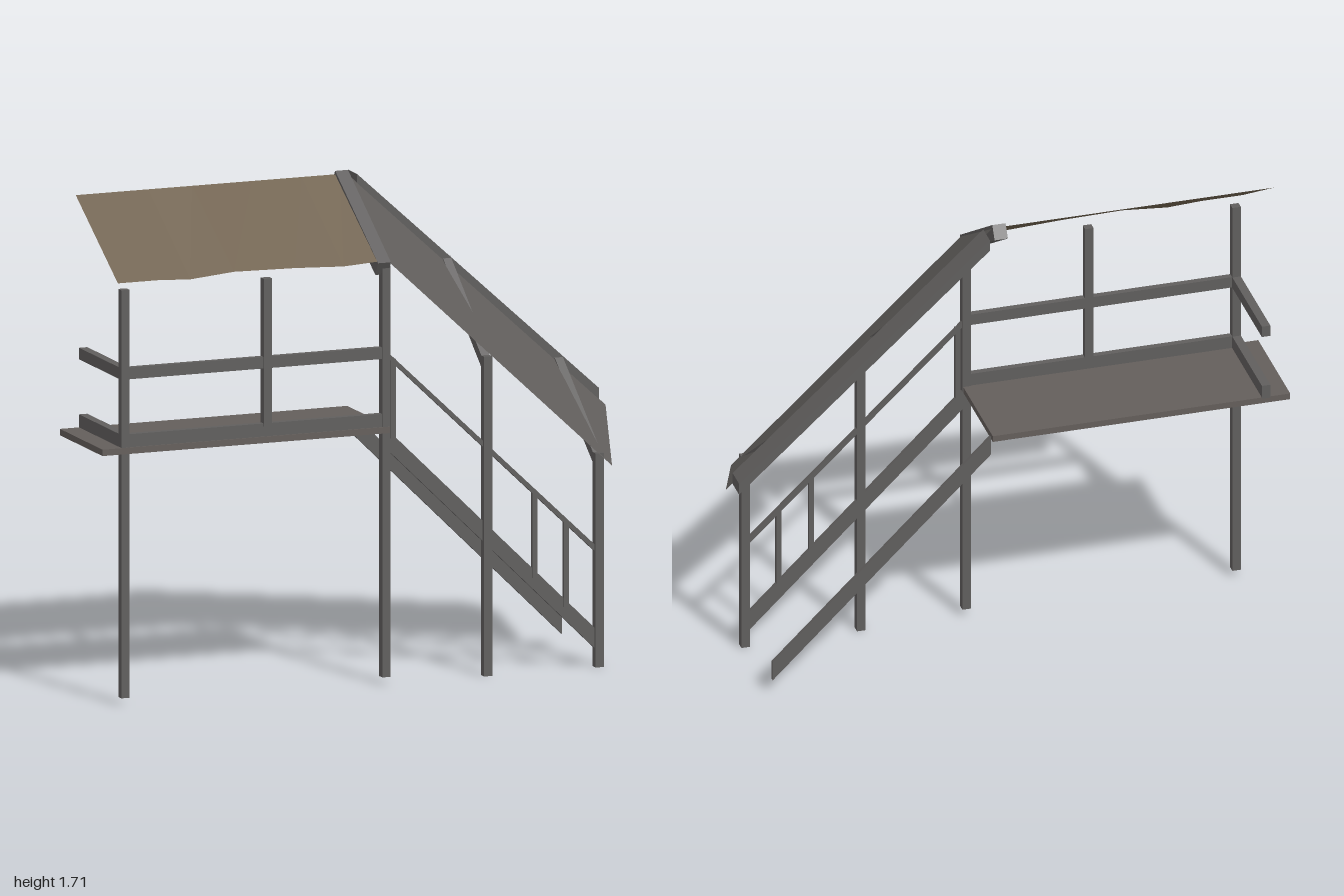
import * as THREE from 'three';

const mat = (name, color, side = THREE.FrontSide) => {
  const m = new THREE.MeshStandardMaterial({ color, side, flatShading: true });
  m.name = name;
  return m;
};

export function createModel() {
  const group = new THREE.Group();
  const timber = mat('grey timber', 0x605e5d);
  const deckWood = mat('deck wood', 0x645e5b);
  const sheet = mat('grey roof sheet', 0x625f5d, THREE.DoubleSide);
  const cloth = mat('brown cloth', 0x70624f, THREE.DoubleSide);

  const add = (name, geo, material = timber) => {
    const mesh = new THREE.Mesh(geo, material);
    mesh.name = name;
    group.add(mesh);
  };
  // Box given by its limits on each axis
  const box = (name, [x0, x1], [y0, y1], [z0, z1], material) => {
    const g = new THREE.BoxGeometry(x1 - x0, y1 - y0, z1 - z0);
    g.translate((x0 + x1) / 2, (y0 + y1) / 2, (z0 + z1) / 2);
    add(name, g, material);
  };
  const extrude = (pts, depth) => new THREE.ExtrudeGeometry(
    new THREE.Shape(pts.map(p => new THREE.Vector2(...p))), { depth, bevelEnabled: false });
  // Outline in x,y carried along z
  const sideBeam = (name, pts, z0, z1) => add(name, extrude(pts, z1 - z0).translate(0, 0, z0));
  // Outline in z,y carried along x
  const crossBeam = (name, pts, x0, x1) =>
    add(name, extrude(pts, x1 - x0).rotateY(-Math.PI / 2).translate(x1, 0, 0));
  // Ruled sheet between two edges of equal point count
  const ruled = (name, back, front, material) => {
    const pos = [], idx = [];
    back.forEach((b, i) => {
      pos.push(...b, ...front[i]);
      if (i) { const k = i * 2; idx.push(k - 2, k - 1, k, k, k - 1, k + 1); }
    });
    const g = new THREE.BufferGeometry();
    g.setAttribute('position', new THREE.Float32BufferAttribute(pos, 3));
    g.setIndex(idx);
    g.computeVertexNormals();
    add(name, g, material);
  };

  // Posts: x, bottom, top
  for (const [x, y0, y1] of [[-0.915, 0.03, 1.44], [0.038, 0.03, 1.45], [0.41, 0.005, 1.11], [0.818, 0.005, 0.745]])
    box('post', [x - 0.015, x + 0.015], [y0, y1], [0.185, 0.213]);
  box('middlePost', [-0.41, -0.38], [0.93, 1.44], [0.185, 0.213]);

  // Platform with front and end rails
  box('platform', [-1, 0.05], [0.873, 0.895], [-0.17, 0.215], deckWood);
  box('frontRail', [-0.915, 0.05], [1.13, 1.17], [0.188, 0.21]);
  box('frontKickBoard', [-0.915, 0.05], [0.878, 0.94], [0.188, 0.21]);
  box('endRail', [-0.93, -0.9], [1.13, 1.17], [-0.17, 0.2]);
  box('endKickBoard', [-0.93, -0.9], [0.89, 0.94], [-0.17, 0.2]);

  // Stair stringers, handrail and balusters
  const stringer = [[0.05, 0.81], [0.82, 0.055], [0.82, 0.125], [0.05, 0.88]];
  sideBeam('frontStringer', stringer, 0.187, 0.2);
  sideBeam('backStringer', stringer, -0.145, -0.133);
  sideBeam('handrail', [[0.05, 1.128], [0.82, 0.39], [0.82, 0.413], [0.05, 1.148]], 0.188, 0.202);
  for (const [x, y0, y1] of [[0.068, 0.85, 1.125], [0.585, 0.33, 0.625], [0.7, 0.22, 0.515]])
    box('baluster', [x - 0.009, x + 0.009], [y0, y1], [0.188, 0.202]);

  // Rafters
  crossBeam('mainRafter', [[0.225, 1.465], [0.2, 1.42], [-0.192, 1.668], [-0.163, 1.712]], 0.003, 0.05);
  crossBeam('middleRafter', [[0.213, 1.09], [0.213, 1.05], [-0.17, 1.35], [-0.165, 1.387]], 0.395, 0.425);
  crossBeam('lowerRafter', [[0.213, 0.725], [0.213, 0.69], [-0.17, 0.975], [-0.165, 1.013]], 0.803, 0.833);

  // Sloping roof over the stairs and its ridge plank
  ruled('stairRoof', [[0.045, 1.7, -0.16], [0.99, 0.83, -0.16]],
    [[0.045, 1.465, 0.22], [0.86, 0.7, 0.22]], sheet);
  sideBeam('ridgePlank', [[0.08, 1.655], [0.965, 0.848], [0.965, 0.89], [0.08, 1.697]], -0.235, -0.157);

  // Cloth awning with a wavy front edge
  const hem = [[-0.945, 1.466], [-0.8, 1.466], [-0.68, 1.46], [-0.52, 1.474], [-0.3, 1.47], [-0.12, 1.462], [0.02, 1.47]];
  ruled('awning', hem.map(([x]) => [x, 1.7, -0.163]), hem.map(([x, y]) => [x, y, 0.217]), cloth);

  return group;
}
